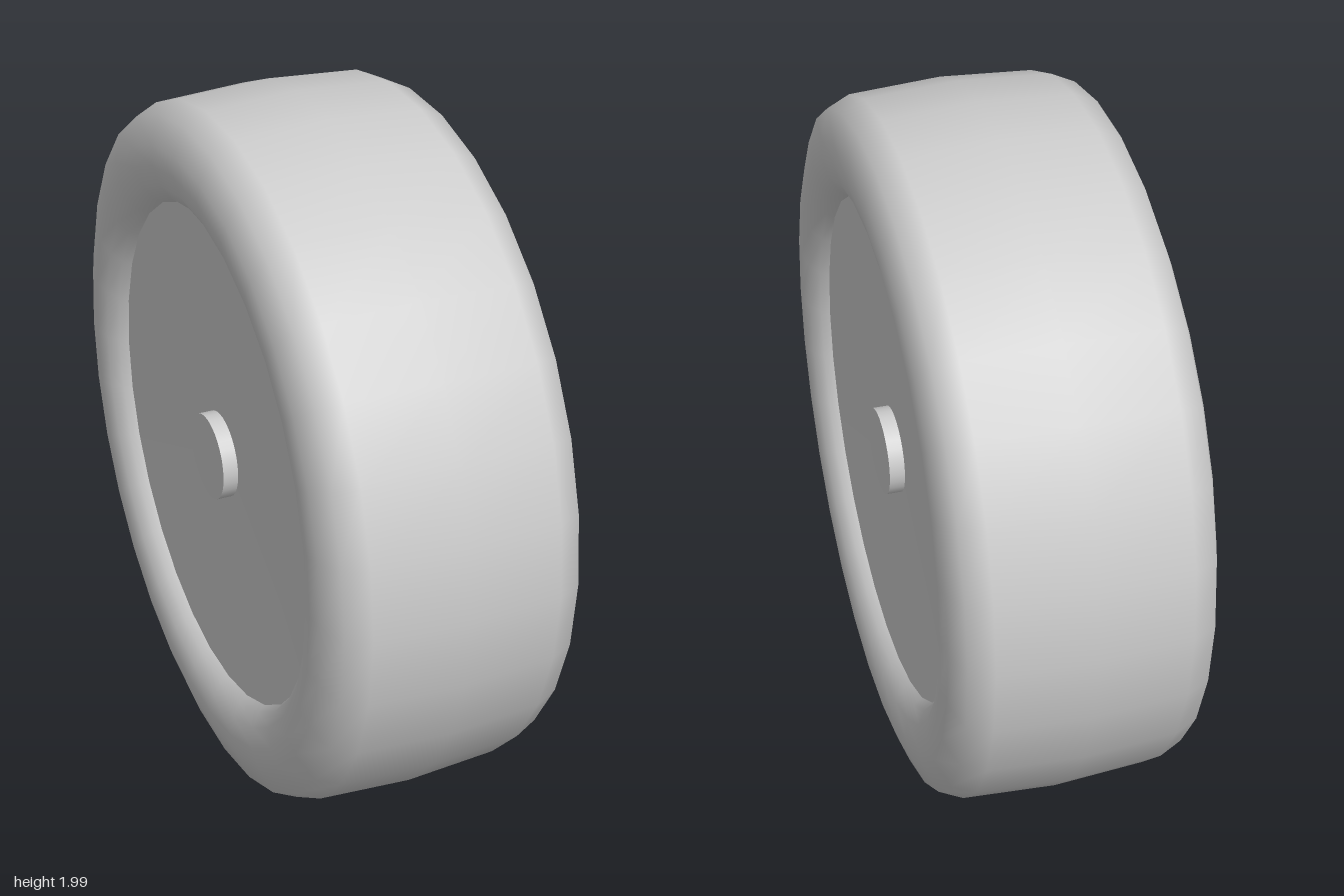
import * as THREE from 'three';

const SIDES = 30;

// Spins a profile of [radius, x] points around the x axis
function spin(name, profile, material, sides = SIDES) {
  const points = profile.map(([r, x]) => new THREE.Vector2(r, x));
  const geometry = new THREE.LatheGeometry(points, sides);
  geometry.rotateZ(-Math.PI / 2);
  const mesh = new THREE.Mesh(geometry, material);
  mesh.name = name;
  return mesh;
}

export function createModel() {
  const grey = new THREE.MeshStandardMaterial({ color: 0xcccccc });
  grey.name = 'light grey';

  const wheel = new THREE.Group();
  wheel.name = 'wheel';

  // Tyre: rounded shoulders, bulging sidewalls and a slight ridge on the tread
  const half = [
    [0.71, 0.295], [0.727, 0.322], [0.765, 0.347], [0.82, 0.36],
    [0.875, 0.354], [0.955, 0.325], [0.985, 0.26],
  ];
  const left = half.map(([r, x]) => [r, -x]);
  wheel.add(spin('tyre', [...left, [1, 0], ...[...half].reverse()], grey));

  // Each side: a shallow dished disc and a small round hub cap
  for (const side of [1, -1]) {
    const face = new THREE.Group();
    face.name = side > 0 ? 'leftFace' : 'rightFace';
    face.add(spin('disc', [[0.712, 0.298], [0, 0.27]], grey));

    const hub = new THREE.Mesh(new THREE.CylinderGeometry(0.122, 0.122, 0.055, SIDES), grey);
    hub.name = 'hubCap';
    hub.rotation.z = -Math.PI / 2;
    hub.position.x = 0.29;
    face.add(hub);

    if (side < 0) face.rotation.y = Math.PI;
    wheel.add(face);
  }

  // The flat of the polygon rests on the ground
  wheel.position.y = Math.cos(Math.PI / SIDES);
  const model = new THREE.Group();
  model.name = 'model';
  model.add(wheel);
  return model;
}
